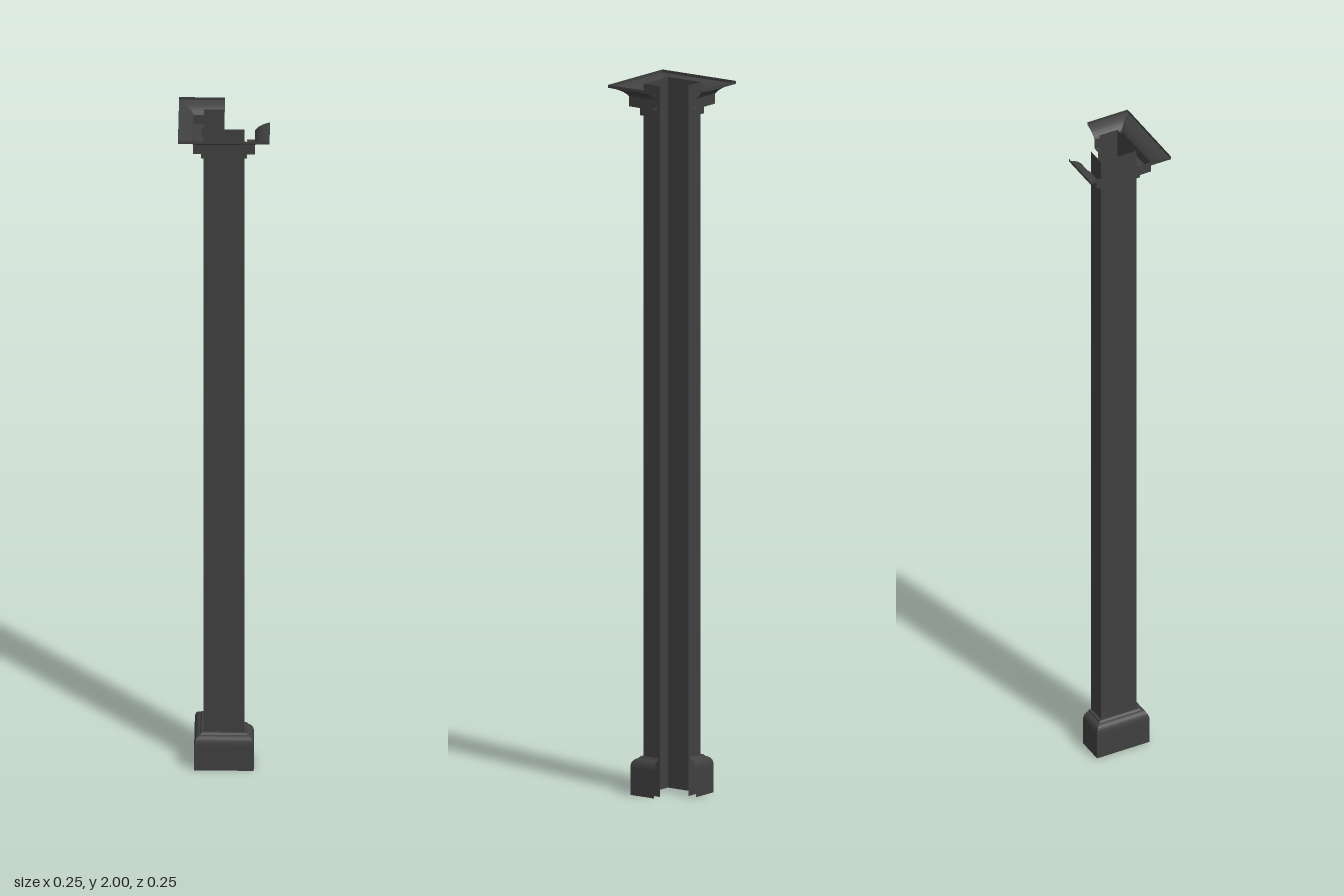
import * as THREE from 'three';

const material = new THREE.MeshStandardMaterial({ color: 0x404040, side: THREE.DoubleSide });

// Square plan with the back-left quarter left open, in units of the radius
const plan = [[0, -1], [-1, -1], [-1, 1], [1, 1], [1, 0]];

// Sweeps a [radius, height] profile around the open square plan as a thin sheet
function sweep(name, profile) {
  const pos = [];
  const corner = ([px, pz], [r, y]) => [px * r, y, pz * r];
  for (let i = 0; i < plan.length - 1; i++) {
    for (let j = 0; j < profile.length - 1; j++) {
      const a = corner(plan[i], profile[j]);
      const b = corner(plan[i + 1], profile[j]);
      const c = corner(plan[i + 1], profile[j + 1]);
      const d = corner(plan[i], profile[j + 1]);
      pos.push(...a, ...b, ...c, ...a, ...c, ...d);
    }
  }
  const geometry = new THREE.BufferGeometry();
  geometry.setAttribute('position', new THREE.Float32BufferAttribute(pos, 3));
  geometry.computeVertexNormals();
  const mesh = new THREE.Mesh(geometry, material);
  mesh.name = name;
  return mesh;
}

// Points along a quadratic curve between two profile corners
function curve(a, control, b, steps = 6) {
  return new THREE.QuadraticBezierCurve(
    new THREE.Vector2(...a), new THREE.Vector2(...control), new THREE.Vector2(...b)
  ).getPoints(steps).map((p) => [p.x, p.y]);
}

export function createModel() {
  const group = new THREE.Group();
  group.name = 'columnWrap';

  // Straight hollow shaft
  group.add(sweep('shaft', [[0.056, 0], [0.056, 2]]));

  // Base moulding with a rounded shoulder
  group.add(sweep('base', [
    [0.082, 0],
    ...curve([0.082, 0.08], [0.08, 0.1], [0.066, 0.103]),
    [0.062, 0.108], [0.056, 0.108],
  ]));

  // Capital: neck band, wider band, then a flared cove with a thin lip
  group.add(sweep('capital', [
    [0.056, 1.912], [0.063, 1.912], [0.063, 1.938], [0.085, 1.938],
    ...curve([0.085, 1.967], [0.096, 1.985], [0.126, 1.992]),
    [0.126, 2],
  ]));

  return group;
}
